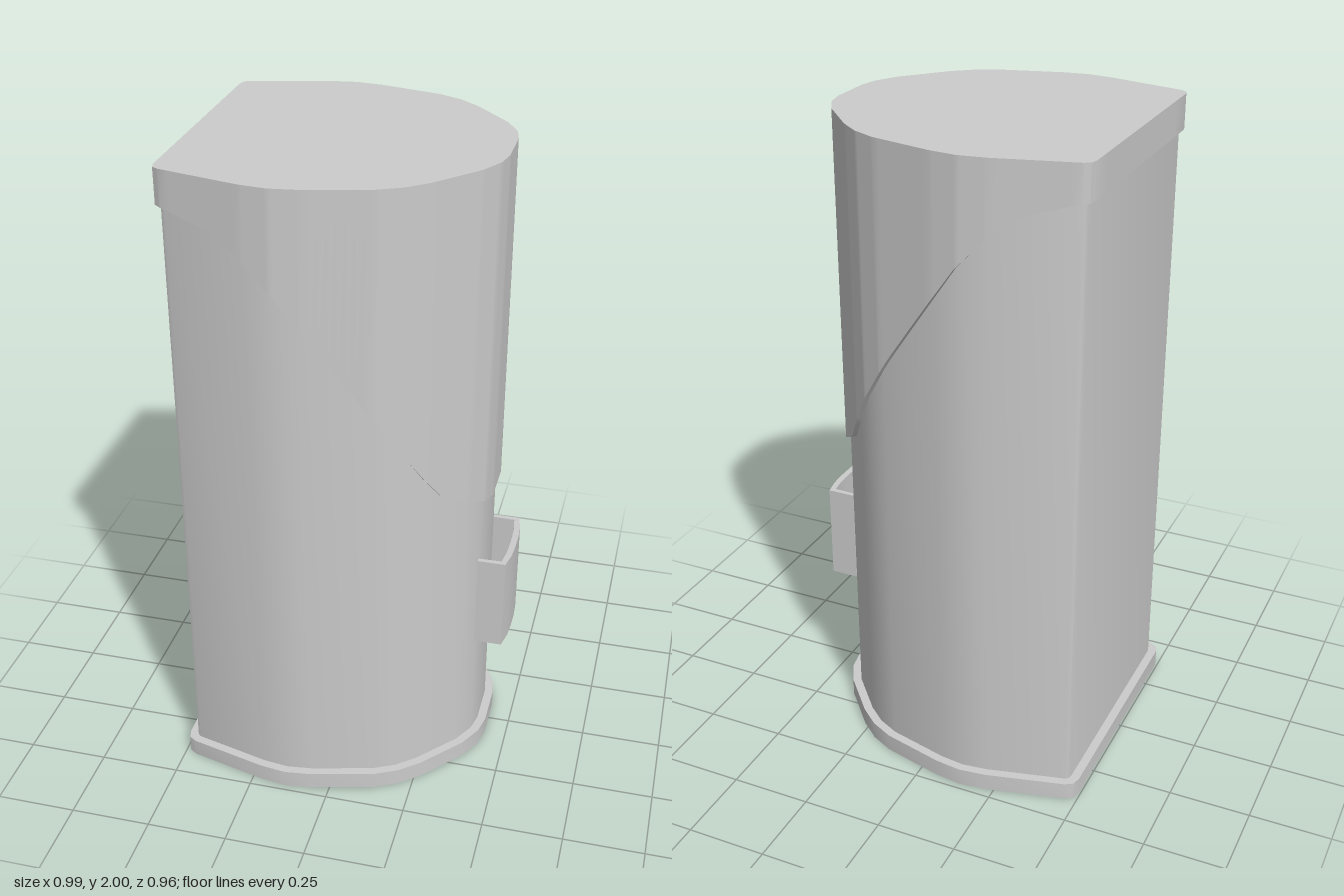
import * as THREE from 'three';
import { toCreasedNormals } from 'three/addons/utils/BufferGeometryUtils.js';

const V = (x, y) => new THREE.Vector2(x, y);

// half footprint of the hood as [x, z], from the flat back to the rounded nose
const HALF = [
  [-0.482, 0.365], [-0.476, 0.388], [-0.458, 0.399], [-0.22, 0.458], [-0.14, 0.468], [-0.06, 0.458],
  [0.13, 0.41], [0.2, 0.375], [0.26, 0.325], [0.37, 0.2], [0.408, 0.13], [0.42, 0.07],
];
// lower edge of the hood as [x, y]
const EDGE = [
  [-0.5, 1.895], [-0.465, 1.893], [-0.41, 1.88], [-0.29, 1.845], [-0.22, 1.785], [-0.13, 1.69], [0, 1.51],
  [0.1, 1.37], [0.2, 1.215], [0.31, 1.015], [0.405, 0.945], [0.42, 0.93],
];

// mirrored footprint, counter-clockwise in (x, -z)
const mirrored = (half) => [
  ...half.map(([x, z]) => V(x, -z)),
  ...half.slice().reverse().map(([x, z]) => V(x, z)),
];

// move every side of a closed outline outward by d
function offset(points, d) {
  const n = points.length;
  return points.map((p, i) => {
    const a = p.clone().sub(points[(i + n - 1) % n]).normalize();
    const b = points[(i + 1) % n].clone().sub(p).normalize();
    const n1 = V(a.y, -a.x), n2 = V(b.y, -b.x);
    const m = n1.clone().add(n2).normalize();
    return p.clone().addScaledVector(m, d / m.dot(n1));
  });
}

const subdivide = (points, k) => points.flatMap((p, i) =>
  Array.from({ length: k }, (_, j) => p.clone().lerp(points[(i + 1) % points.length], j / k)));

function edgeHeight(x) {
  let i = 0;
  while (i < EDGE.length - 2 && x > EDGE[i + 1][0]) i++;
  const [x0, y0] = EDGE[i], [x1, y1] = EDGE[i + 1];
  return y0 + (y1 - y0) * THREE.MathUtils.clamp((x - x0) / (x1 - x0), 0, 1);
}

// upright prism from a footprint
function prism(points, y0, y1) {
  const g = new THREE.ExtrudeGeometry(new THREE.Shape(points), { depth: y1 - y0, bevelEnabled: false });
  g.rotateX(-Math.PI / 2).translate(0, y0, 0);
  return toCreasedNormals(g, 0.6);
}

// skin between closed rings of [x, y, z] points
function loft(rings) {
  const n = rings[0].length, index = [];
  for (let r = 0; r < rings.length - 1; r++) {
    for (let i = 0; i < n; i++) {
      const a = r * n + i, b = r * n + (i + 1) % n;
      index.push(a, b, b + n, a, b + n, a + n);
    }
  }
  const g = new THREE.BufferGeometry();
  g.setAttribute('position', new THREE.Float32BufferAttribute(rings.flat(2), 3));
  g.setIndex(index);
  return toCreasedNormals(g, 0.6);
}

export function createModel() {
  const model = new THREE.Group();
  model.name = 'container';
  const material = new THREE.MeshStandardMaterial({ color: 0xcccccc });
  const add = (name, geometry, parent = model) => {
    const mesh = new THREE.Mesh(geometry, material);
    mesh.name = name;
    parent.add(mesh);
  };

  const hoodLine = mirrored(HALF);
  const bodyLine = offset(hoodLine, -0.015);

  add('basePlate', prism(offset(hoodLine, 0.012), 0, 0.055));
  add('body', prism(bodyLine, 0.055, 1.98));

  // hood: stepped underside, wall with a sweeping lower edge, flat lid
  const hood = new THREE.Group();
  hood.name = 'hood';
  model.add(hood);
  const outer = subdivide(hoodLine, 8), inner = subdivide(bodyLine, 8);
  add('hoodWall', loft([
    inner.map((p, i) => [p.x, edgeHeight(outer[i].x), -p.y]),
    outer.map((p) => [p.x, edgeHeight(p.x), -p.y]),
    outer.map((p) => [p.x, 2, -p.y]),
  ]), hood);
  const lid = new THREE.ShapeGeometry(new THREE.Shape(outer));
  add('lid', lid.rotateX(-Math.PI / 2).translate(0, 2, 0), hood);

  // open-topped pocket on the nose
  const pocket = new THREE.Group();
  pocket.name = 'pocket';
  model.add(pocket);
  const front = [[0.392, 0.136], [0.478, 0.136], [0.489, 0.08], [0.492, 0.03]];
  const hollow = [[0.392, 0.122], [0.464, 0.12], [0.471, 0.07], [0.473, 0.03]];
  add('pocketWall', prism([...mirrored(front), ...mirrored(hollow).reverse()], 0.42, 0.725), pocket);
  add('pocketFloor', prism(mirrored(hollow), 0.42, 0.44), pocket);

  return model;
}
